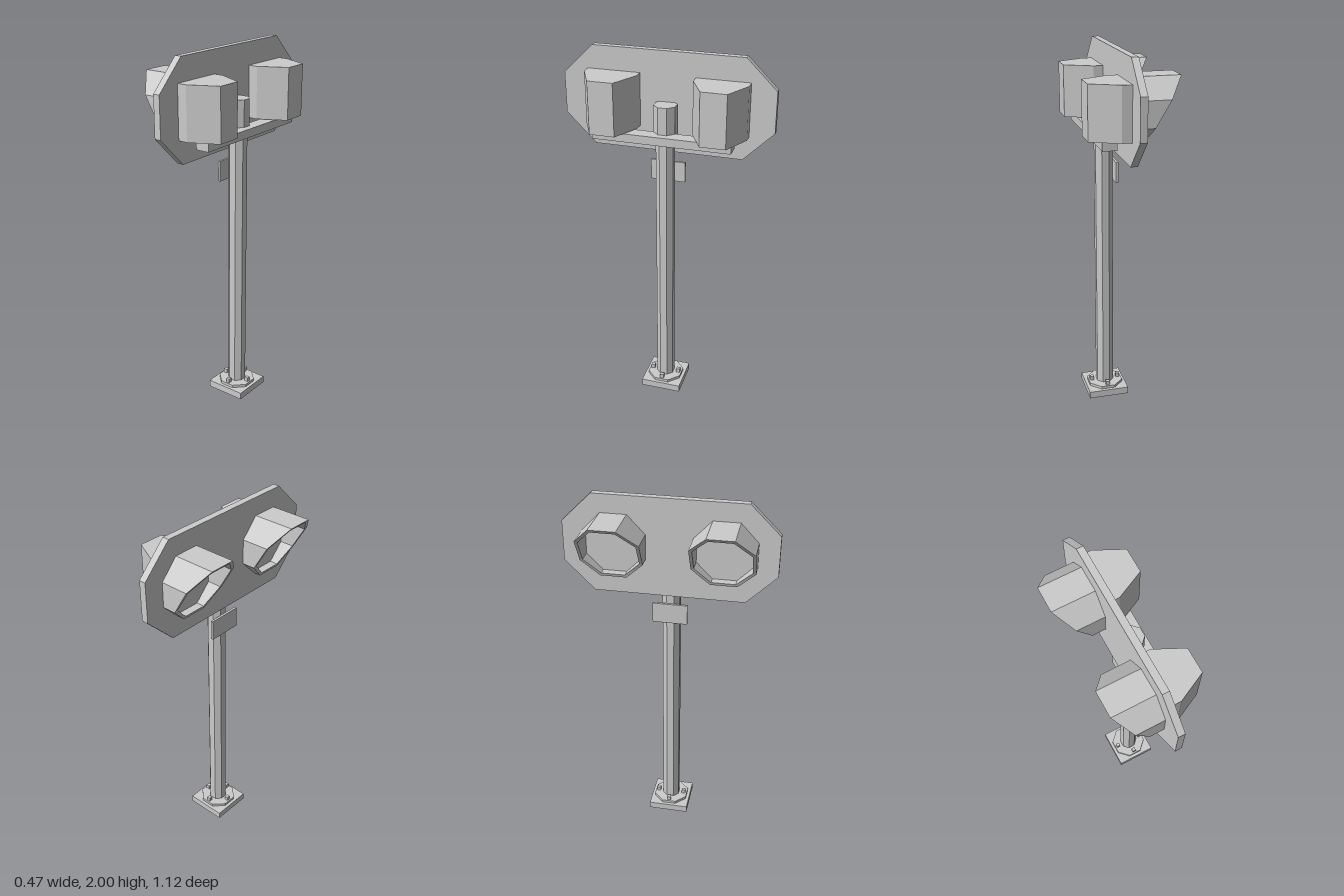
import * as THREE from 'three';

// flat grey used on every part
const grey = new THREE.MeshStandardMaterial({ color: 0xcccccc, side: THREE.DoubleSide });
grey.name = 'paintedGrey';

const POLE_X = 0.069;

function add(parent, name, geometry, x = 0, y = 0, z = 0) {
  // separate the faces so that every edge stays sharp
  const g = geometry.index ? geometry.toNonIndexed() : geometry;
  g.computeVertexNormals();
  const mesh = new THREE.Mesh(g, grey);
  mesh.name = name;
  mesh.position.set(x, y, z);
  parent.add(mesh);
  return mesh;
}

// box given by its limits
function block(parent, name, [x0, x1], [y0, y1], [z0, z1]) {
  return add(parent, name, new THREE.BoxGeometry(x1 - x0, y1 - y0, z1 - z0),
    (x0 + x1) / 2, (y0 + y1) / 2, (z0 + z1) / 2);
}

// upright octagonal prism with flats facing the axes
function octagon(parent, name, halfWidth, y0, y1) {
  const r = halfWidth / Math.cos(Math.PI / 8);
  const g = new THREE.CylinderGeometry(r, r, y1 - y0, 8).rotateY(Math.PI / 8);
  return add(parent, name, g, POLE_X, (y0 + y1) / 2, 0);
}

function extrude(points, depth) {
  const shape = new THREE.Shape(points.map(([a, b]) => new THREE.Vector2(a, b)));
  return new THREE.ExtrudeGeometry(shape, { depth, bevelEnabled: false });
}

// octagonal tube whose open end is cut back towards the bottom
function hoodGeometry() {
  const back = -0.005;
  const cut = [[1.57, -0.045], [1.665, -0.08], [1.8, -0.16], [1.9, -0.235]];
  const cutX = (y) => {
    const i = y < cut[1][0] ? 0 : y < cut[2][0] ? 1 : 2;
    const [[ya, xa], [yb, xb]] = [cut[i], cut[i + 1]];
    return xa + (xb - xa) * (y - ya) / (yb - ya);
  };
  const outline = [[-0.07, 1.9], [0.07, 1.9], [0.165, 1.8], [0.165, 1.665],
    [0.07, 1.57], [-0.07, 1.57], [-0.165, 1.665], [-0.165, 1.8]];
  const mid = 1.735;
  const rings = outline.map(([z, y]) => {
    const zi = z * 0.9, yi = mid + (y - mid) * 0.9;
    return [[back, y, z], [cutX(y), y, z], [cutX(yi), yi, zi], [back, yi, zi]];
  });
  const pos = [];
  rings.forEach((a, i) => {
    const b = rings[(i + 1) % rings.length];
    for (let k = 0; k < 3; k++) {
      pos.push(...a[k], ...a[k + 1], ...b[k + 1], ...a[k], ...b[k + 1], ...b[k]);
    }
  });
  // outer wall must face outwards: the first face lies on top
  const g = new THREE.BufferGeometry();
  g.setAttribute('position', new THREE.Float32BufferAttribute(pos, 3));
  g.computeVertexNormals();
  if (g.attributes.normal.getY(0) < 0) {
    const p = g.attributes.position;
    for (let i = 0; i < p.count; i += 3) {
      const v = new THREE.Vector3().fromBufferAttribute(p, i + 1);
      p.setXYZ(i + 1, p.getX(i + 2), p.getY(i + 2), p.getZ(i + 2));
      p.setXYZ(i + 2, v.x, v.y, v.z);
    }
  }
  return g;
}

export function createModel() {
  const model = new THREE.Group();
  model.name = 'twinSignal';

  // foot
  block(model, 'basePlate', [-0.045, 0.183], [0, 0.04], [-0.114, 0.114]);
  octagon(model, 'baseFlange', 0.096, 0.04, 0.056);
  for (const [dx, dz] of [[1, 0], [-1, 0], [0, 1], [0, -1]]) {
    add(model, 'bolt', new THREE.BoxGeometry(0.021, 0.04, 0.021),
      POLE_X + dx * 0.077, 0.06, dz * 0.077);
  }

  // post and its upper collar
  octagon(model, 'pole', 0.047, 0.05, 1.56);
  octagon(model, 'poleCollar', 0.057, 1.55, 1.735);

  // small plate on the post
  block(model, 'postPlate', [0.01, 0.023], [1.293, 1.405], [-0.094, 0.094]);

  // bar carrying the lamps
  block(model, 'crossbar', [0.089, 0.165], [1.545, 1.59], [-0.368, 0.368]);

  // clipped-corner backing board
  const board = extrude([[-0.4, 1.465], [0.4, 1.465], [0.56, 1.625], [0.56, 1.843],
    [0.4, 2], [-0.4, 2], [-0.56, 1.843], [-0.56, 1.625]], 0.037).rotateY(Math.PI / 2);
  add(model, 'backingBoard', board, -0.007);

  // lamps: tapered housing behind the board, hood before it
  for (const side of [-1, 1]) {
    const lamp = new THREE.Group();
    lamp.name = side > 0 ? 'leftLamp' : 'rightLamp';
    lamp.position.z = side * 0.288;
    const housing = extrude([[0.02, -0.141], [0.082, -0.141], [0.232, -0.067],
      [0.232, 0.067], [0.082, 0.141], [0.02, 0.141]], 0.282).rotateX(-Math.PI / 2);
    add(lamp, 'housing', housing, 0, 1.594, 0);
    add(lamp, 'hood', hoodGeometry());
    model.add(lamp);
  }
  return model;
}
